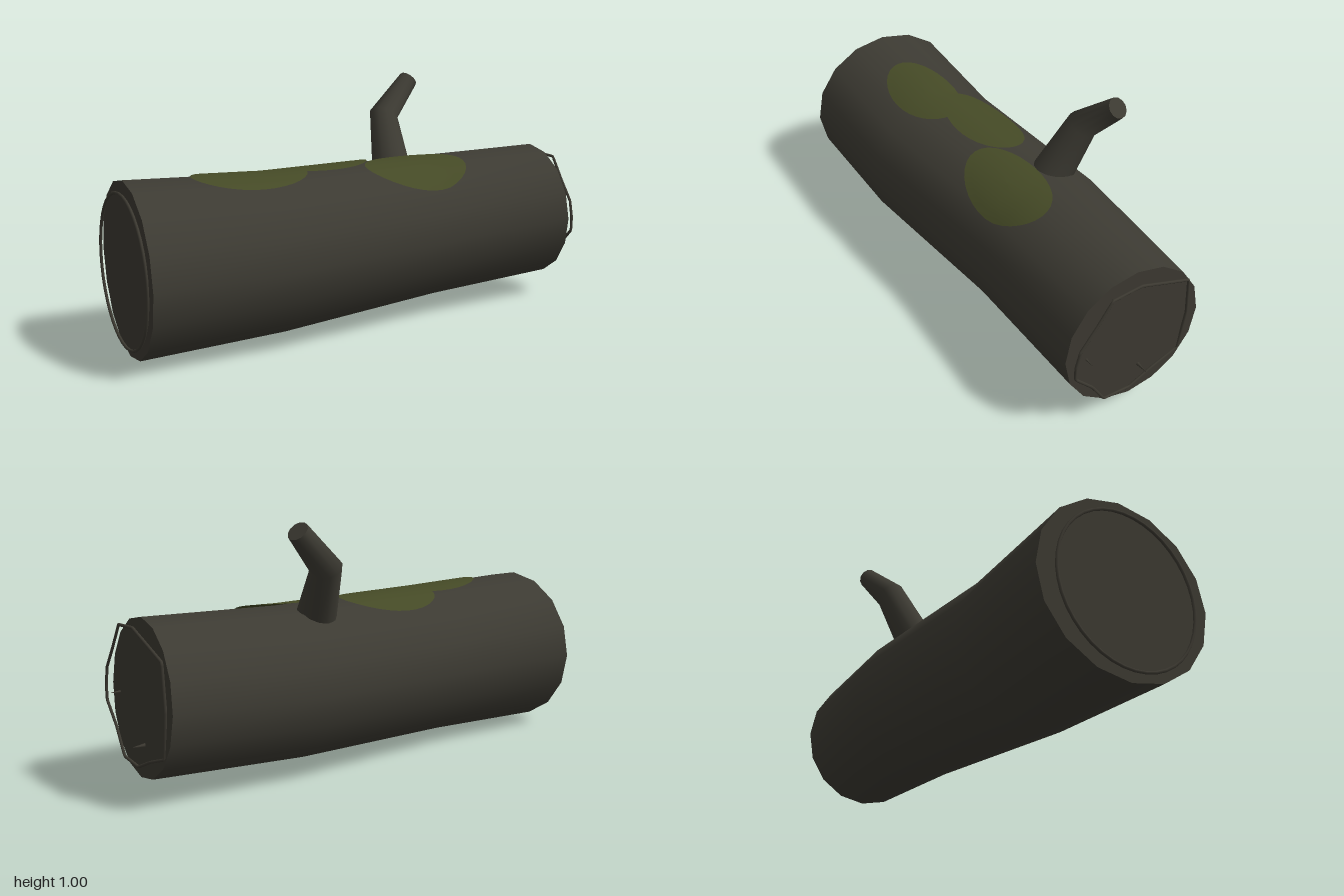
import * as THREE from 'three';

const V = (x, y, z) => new THREE.Vector3(x, y, z);

// Closed ring of points around a centre; u x v points along the loft
function ring(c, u, v, n) {
  return Array.from({ length: n }, (_, j) => {
    const a = (j / n) * Math.PI * 2;
    return c.clone().addScaledVector(u, Math.cos(a)).addScaledVector(v, Math.sin(a));
  });
}

function geometry(points, index) {
  const g = new THREE.BufferGeometry().setFromPoints(points);
  g.setIndex(index);
  g.computeVertexNormals();
  return g;
}

// Smooth skin through successive rings
function loft(rings) {
  const n = rings[0].length, index = [];
  for (let i = 0; i < rings.length - 1; i++) {
    for (let j = 0; j < n; j++) {
      const a = i * n + j, b = i * n + (j + 1) % n;
      index.push(a, b, a + n, b, b + n, a + n);
    }
  }
  return geometry(rings.flat(), index);
}

// Flat end cap, facing along or against the loft
function cap(points, forward) {
  const n = points.length, index = [];
  const centre = points.reduce((s, p) => s.add(p), V(0, 0, 0)).divideScalar(n);
  for (let j = 0; j < n; j++) {
    const k = (j + 1) % n;
    index.push(n, forward ? j : k, forward ? k : j);
  }
  return geometry([...points, centre], index);
}

// Trunk stations: x, centre y, centre z, half height, half depth, x tilt per y, x tilt per z
const stations = [
  [-0.97, 0.343, -0.003, 0.338, 0.354, 0, -0.035],
  [-0.4, 0.343, 0.017, 0.319, 0.338, -0.01, 0.01],
  [0.34, 0.358, -0.035, 0.305, 0.32, -0.02, 0.01],
  [0.943, 0.378, -0.005, 0.297, 0.285, -0.04, -0.06],
];

function trunkAt(x) {
  let i = 0;
  while (i < stations.length - 2 && x > stations[i + 1][0]) i++;
  const a = stations[i], b = stations[i + 1], t = (x - a[0]) / (b[0] - a[0]);
  return a.map((s, k) => s + (b[k] - s) * t);
}

// Moss patch draped over the trunk just above the bark
function mossPatch(cx, cz, rx, rz) {
  const rows = 6, n = 32, points = [], index = [];
  for (let i = 0; i <= rows; i++) {
    for (let j = 0; j < n; j++) {
      const a = (j / n) * Math.PI * 2, r = i / rows;
      const x = cx + rx * r * Math.cos(a), z = cz + rz * r * Math.sin(a);
      const [, y0, z0, ry, rzz] = trunkAt(x);
      const s = (z - z0) / (rzz + 0.004);
      points.push(V(x, y0 + (ry + 0.004) * Math.sqrt(1 - s * s), z));
      if (i < rows) {
        const p = i * n + j, q = i * n + (j + 1) % n;
        index.push(p, q, p + n, q, q + n, p + n);
      }
    }
  }
  return geometry(points, index);
}

export function createModel() {
  const group = new THREE.Group();
  const bark = new THREE.MeshStandardMaterial({ name: 'bark', color: 0x3d3b33 });
  const wood = new THREE.MeshStandardMaterial({ name: 'cut wood', color: 0x3c3931 });
  const moss = new THREE.MeshStandardMaterial({ name: 'moss', color: 0x454a26, side: THREE.DoubleSide });
  const add = (name, geo, mat) => {
    const mesh = new THREE.Mesh(geo, mat);
    mesh.name = name;
    group.add(mesh);
    return mesh;
  };

  // Trunk with slightly tilted cut ends
  const trunk = stations.map(([x, y, z, ry, rz, ty, tz]) =>
    ring(V(x, y, z), V(ty * ry, ry, 0), V(tz * rz, 0, rz), 16));
  add('trunk', loft(trunk), bark);
  add('rightCutEnd', cap(trunk[0], false), wood);
  add('leftCutEnd', cap(trunk[3], true), wood);

  // Growth ring on the wide end
  const round = add('roundGrowthRing', new THREE.TorusGeometry(0.295, 0.006, 6, 40), wood);
  round.rotation.y = Math.PI / 2;
  round.position.set(-0.985, 0.338, 0);

  // Cracked, angular growth ring on the narrow end
  const outline = [[0.12, 0.632], [0, 0.638], [-0.225, 0.553], [-0.24, 0.385], [-0.22, 0.207],
    [-0.1, 0.165], [0, 0.12], [0.12, 0.13], [0.18, 0.23], [0.26, 0.32], [0.26, 0.38],
    [0.245, 0.45], [0.18, 0.54]];
  const path = new THREE.CurvePath();
  outline.forEach(([z, y], i) => {
    const [z2, y2] = outline[(i + 1) % outline.length];
    path.add(new THREE.LineCurve3(V(0.962, y, z), V(0.962, y2, z2)));
  });
  add('angularGrowthRing', new THREE.TubeGeometry(path, 120, 0.006, 6, true), wood);

  // Splinters standing out of the narrow end
  for (const [y, z, r, tip] of [[0.212, -0.04, 0.01, 1], [0.36, 0.195, 0.005, 0.975]]) {
    const length = tip - 0.935;
    const splinter = add('splinter', new THREE.ConeGeometry(r, length, 6), wood);
    splinter.rotation.z = -Math.PI / 2;
    splinter.position.set(tip - length / 2, y, z);
  }

  // Bent, tapering branch stub
  const joints = [V(0.24, 0.52, -0.07), V(0.285, 0.825, -0.237), V(0.437, 0.972, -0.276)];
  const radii = [0.092, 0.063, 0.042];
  const branch = joints.map((p, i) => {
    const d = V(0, 0, 0);
    if (i > 0) d.add(p.clone().sub(joints[i - 1]).normalize());
    if (i < 2) d.add(joints[i + 1].clone().sub(p).normalize());
    d.normalize();
    const u = V(0, 0, 1).cross(d).normalize();
    const v = d.clone().cross(u);
    return ring(p, u.multiplyScalar(radii[i]), v.multiplyScalar(radii[i]), 12);
  });
  add('branch', loft(branch), bark);
  add('branchTip', cap(branch[2], true), wood);

  // Moss along the top
  for (const [x, z] of [[-0.485, 0.045], [-0.155, -0.06], [0.25, 0.085]]) {
    add('mossPatch', mossPatch(x, z, 0.238, 0.132), moss);
  }
  return group;
}
